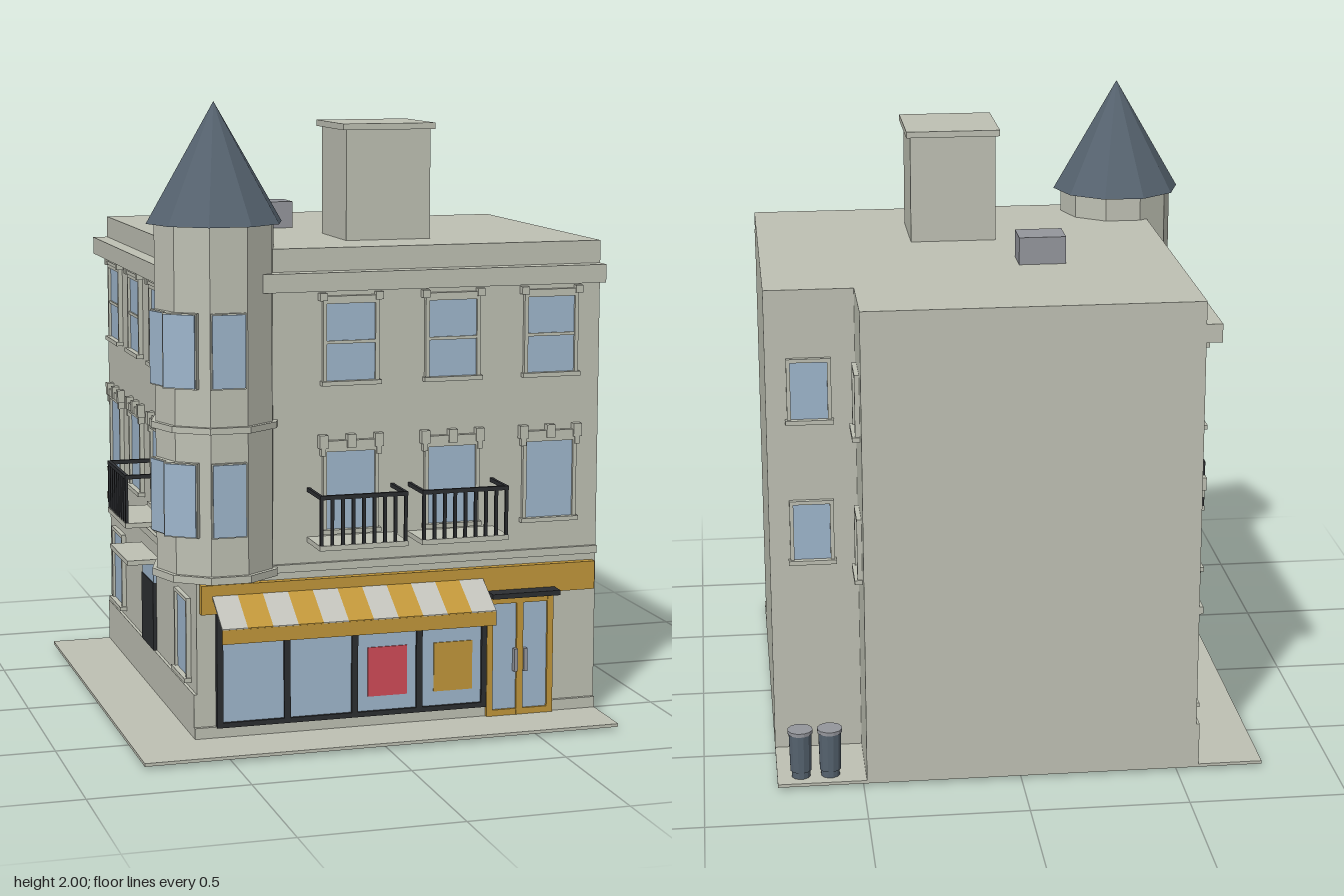
import * as THREE from 'three';

const mat = (name, color) => {
  const m = new THREE.MeshStandardMaterial({ color });
  m.name = name;
  return m;
};

export function createModel() {
  const stone = mat('stone', 0xbec0b3);
  const glass = mat('glass', 0x9eb6cc);
  const gold = mat('gold', 0xc0963a);
  const iron = mat('iron', 0x2c2e31);
  const slate = mat('slate', 0x56636f);
  const metal = mat('metal', 0x94969c);
  const red = mat('red', 0xcf4b57);
  const cream = mat('cream', 0xc2c2ba);

  const model = new THREE.Group();
  model.name = 'cornerShop';

  const add = (parent, name, geo, material) => {
    const mesh = new THREE.Mesh(geo, material);
    mesh.name = name;
    parent.add(mesh);
    return mesh;
  };
  // Box given by its limits on each axis
  const box = (parent, name, material, x0, x1, y0, y1, z0, z1) => {
    const geo = new THREE.BoxGeometry(x1 - x0, y1 - y0, z1 - z0);
    geo.translate((x0 + x1) / 2, (y0 + y1) / 2, (z0 + z1) / 2);
    return add(parent, name, geo, material);
  };
  // Faceted upright prism or cone
  const prism = (parent, name, material, rTop, rBottom, y0, y1, x, z, sides) => {
    let geo = new THREE.CylinderGeometry(rTop, rBottom, y1 - y0, sides);
    geo.rotateY(Math.PI / sides);
    geo = geo.toNonIndexed();
    geo.computeVertexNormals();
    geo.translate(x, (y0 + y1) / 2, z);
    return add(parent, name, geo, material);
  };
  // Group on a wall: local x runs along the wall, local z points outward
  const onWall = (name, x, z, angle) => {
    const g = new THREE.Group();
    g.name = name;
    g.position.set(x, 0, z);
    g.rotation.y = angle;
    model.add(g);
    return g;
  };

  // Pavement and doorstep
  box(model, 'pavement', stone, -0.775, 0.77, 0.01, 0.02, -0.775, 0.77);
  box(model, 'doorstep', stone, 0.37, 0.64, 0, 0.012, 0.55, 0.69);

  // Main block with a notch in the back corner
  const plan = new THREE.Shape([
    [-0.56, -0.555], [0.77, -0.555], [0.77, 0.5], [0.49, 0.5], [0.49, 0.775], [-0.56, 0.775],
  ].map(([x, y]) => new THREE.Vector2(x, y)));
  const walls = new THREE.ExtrudeGeometry(plan, { depth: 1.535, bevelEnabled: false });
  walls.rotateX(-Math.PI / 2);
  walls.translate(0, 0.015, 0);
  add(model, 'walls', walls, stone);

  // Cornice, string course and plinth along the two street sides
  box(model, 'frontCornice', stone, -0.475, 0.77, 1.42, 1.478, 0.55, 0.607);
  box(model, 'sideCornice', stone, -0.61, -0.55, 1.42, 1.478, -0.775, 0.47);
  box(model, 'frontStringCourse', stone, -0.475, 0.77, 0.535, 0.56, 0.55, 0.567);
  box(model, 'sideStringCourse', stone, -0.572, -0.55, 0.535, 0.56, -0.775, 0.47);
  box(model, 'frontPlinth', stone, -0.57, 0.77, 0.02, 0.055, 0.55, 0.567);
  box(model, 'sidePlinth', stone, -0.57, -0.55, 0.02, 0.16, -0.775, 0.555);

  // Roof fittings
  box(model, 'chimney', stone, -0.013, 0.267, 1.55, 1.9, 0.068, 0.346);
  box(model, 'chimneyCap', stone, -0.026, 0.28, 1.9, 1.92, 0.052, 0.357);
  box(model, 'roofVent', metal, -0.2, -0.05, 1.55, 1.638, -0.272, -0.157);

  // Corner turret
  const tx = -0.475, tz = 0.47;
  prism(model, 'turret', stone, 0.19, 0.19, 0.535, 1.632, tx, tz, 10);
  prism(model, 'turretBaseBand', stone, 0.205, 0.205, 0.533, 0.556, tx, tz, 10);
  prism(model, 'turretMiddleBand', stone, 0.205, 0.205, 1.0, 1.02, tx, tz, 10);
  prism(model, 'turretRoof', slate, 0, 0.215, 1.63, 2, tx, tz, 10);
  [[-0.478, 0.655, 0], [-0.617, 0.605, -0.2], [-0.657, 0.525, -0.4]].forEach(([x, z, turn]) => {
    const g = onWall('turretWindow', x, z, turn * Math.PI);
    for (const y of [0.68, 1.14]) {
      box(g, 'turretFrame', stone, -0.056, 0.056, y - 0.004, y + 0.229, -0.02, 0.006);
      box(g, 'turretPane', glass, -0.052, 0.052, y, y + 0.225, 0.004, 0.011);
    }
  });

  // Framed window; style: 'plain', 'sash' or 'ornate'
  const makeWindow = (x, z, angle, y0, y1, width, style, sill = 0.024) => {
    const g = onWall('window', x, z, angle);
    const w = width / 2, f = w + 0.012;
    box(g, 'pane', glass, -w, w, y0, y1, 0, 0.006);
    for (const s of [-1, 1]) {
      box(g, 'jamb', stone, Math.min(s * w, s * f), Math.max(s * w, s * f), y0, y1, 0, 0.015);
    }
    box(g, 'sill', stone, -f - 0.006, f + 0.006, y0 - 0.014, y0, 0, sill);
    box(g, 'lintel', stone, -f, f, y1, y1 + 0.012, 0, 0.015);
    if (style === 'sash') {
      const m = (y0 + y1) / 2;
      box(g, 'sashRail', stone, -w, w, m - 0.005, m + 0.005, 0, 0.011);
      box(g, 'header', stone, -f, f, y1 + 0.012, y1 + 0.024, 0, 0.018);
      for (const s of [-1, 1]) {
        box(g, 'headerEnd', stone, s * f - 0.012, s * f + 0.012, y1 + 0.01, y1 + 0.034, 0, 0.023);
      }
    }
    if (style === 'ornate') {
      box(g, 'header', stone, -f, f, y1 + 0.01, y1 + 0.035, 0, 0.018);
      for (const s of [-1, 0, 1]) {
        box(g, 'headerBlock', stone, s * f - 0.014, s * f + 0.014, y1 + 0.012, y1 + 0.054, 0, 0.024);
      }
      for (const s of [-1, 1]) {
        box(g, 'headerDrop', stone, s * f - 0.008, s * f + 0.008, y1 - 0.012, y1 + 0.012, 0, 0.02);
      }
    }
  };
  const side = -Math.PI / 2;
  for (const x of [-0.063, 0.272, 0.602]) {
    makeWindow(x, 0.555, 0, 1.135, 1.377, 0.158, 'sash');
    makeWindow(x, 0.555, 0, 0.665, 0.912, 0.158, 'ornate');
  }
  for (const z of [-0.61, -0.28, 0.055]) {
    makeWindow(-0.56, z, side, 1.135, 1.377, 0.158, 'sash');
    makeWindow(-0.56, z, side, 0.665, 0.912, 0.158, 'ornate');
  }
  for (const z of [-0.6, 0.39]) makeWindow(-0.56, z, side, 0.195, 0.44, 0.15, 'plain');
  for (const y of [0.67, 1.135]) {
    makeWindow(0.49, -0.635, Math.PI / 2, y, y + 0.185, 0.115, 'plain');
    makeWindow(0.635, -0.5, Math.PI, y, y + 0.185, 0.115, 'plain');
  }

  // Balconies: slab, top rail on three sides, balusters in front
  for (const [x, z, angle] of [[-0.06, 0.555, 0], [0.272, 0.555, 0], [-0.56, 0.055, side]]) {
    const g = onWall('balcony', x, z, angle);
    box(g, 'balconySlab', stone, -0.143, 0.143, 0.627, 0.643, 0, 0.147);
    box(g, 'frontRail', iron, -0.142, 0.142, 0.787, 0.8, 0.135, 0.147);
    for (const s of [-1, 1]) {
      box(g, 'sideRail', iron, s * 0.137 - 0.005, s * 0.137 + 0.005, 0.787, 0.8, 0, 0.14);
    }
    for (let i = 0; i < 9; i++) {
      const b = -0.136 + i * 0.034;
      box(g, 'baluster', iron, b - 0.005, b + 0.005, 0.643, 0.79, 0.137, 0.146);
    }
  }

  // Side door with its canopy
  const sideDoor = onWall('sideDoor', -0.56, -0.11, side);
  box(sideDoor, 'sideDoorLeaf', iron, -0.09, 0.09, 0.16, 0.39, 0, 0.012);
  box(sideDoor, 'sideDoorTransom', glass, -0.09, 0.09, 0.39, 0.46, 0, 0.009);
  box(sideDoor, 'sideDoorCanopy', stone, -0.142, 0.142, 0.466, 0.482, 0, 0.108);

  // Shop window
  const shop = onWall('shopFront', 0, 0.555, 0);
  box(shop, 'shopGlass', glass, -0.49, 0.385, 0.06, 0.42, 0, 0.01);
  for (const x of [-0.49, -0.272, -0.05, 0.165, 0.385]) {
    box(shop, 'mullion', iron, x - 0.01, x + 0.01, 0.055, 0.42, 0, 0.02);
  }
  box(shop, 'shopSill', iron, -0.5, 0.395, 0.052, 0.068, 0, 0.02);
  box(shop, 'shopHead', iron, -0.5, 0.395, 0.405, 0.42, 0, 0.02);
  box(shop, 'redPoster', red, -0.006, 0.125, 0.115, 0.275, 0.01, 0.014);
  box(shop, 'goldPoster', gold, 0.215, 0.345, 0.115, 0.275, 0.01, 0.014);
  box(shop, 'fascia', gold, -0.55, 0.758, 0.42, 0.512, 0, 0.025);

  // Double shop door
  box(shop, 'doorGlass', glass, 0.4, 0.61, 0.02, 0.4, 0, 0.015);
  for (const [x, w] of [[0.402, 0.02], [0.504, 0.022], [0.608, 0.02]]) {
    box(shop, 'doorStile', gold, x - w / 2, x + w / 2, 0.02, 0.41, 0, 0.024);
  }
  for (const y of [0.02, 0.39]) box(shop, 'doorRail', gold, 0.395, 0.615, y, y + 0.02, 0, 0.023);
  for (const x of [0.488, 0.521]) {
    box(shop, 'doorHandle', metal, x - 0.006, x + 0.006, 0.165, 0.24, 0.015, 0.034);
  }
  box(shop, 'doorCanopy', iron, 0.39, 0.62, 0.42, 0.436, 0, 0.08);

  // Striped awning with valance
  const stripes = 11, ax = -0.515, sw = 0.89 / stripes;
  const profile = new THREE.Shape([
    [0.022, 0.472], [0.152, 0.395], [0.152, 0.403], [0.022, 0.48],
  ].map(([z, y]) => new THREE.Vector2(z, y)));
  for (let i = 0; i < stripes; i++) {
    const geo = new THREE.ExtrudeGeometry(profile, { depth: sw, bevelEnabled: false });
    geo.rotateY(-Math.PI / 2);
    geo.translate(ax + (i + 1) * sw, 0, 0);
    add(shop, 'awningStripe', geo, i % 2 ? gold : cream);
  }
  box(shop, 'awningValance', gold, ax, ax + 0.89, 0.355, 0.4, 0.146, 0.153);

  // Dustbins in the notch
  for (const x of [0.602, 0.695]) {
    prism(model, 'binFoot', slate, 0.03, 0.03, 0.02, 0.042, x, -0.715, 12);
    prism(model, 'binBody', slate, 0.037, 0.034, 0.042, 0.168, x, -0.715, 12);
    prism(model, 'binLid', metal, 0.04, 0.04, 0.168, 0.18, x, -0.715, 12);
  }
  return model;
}
